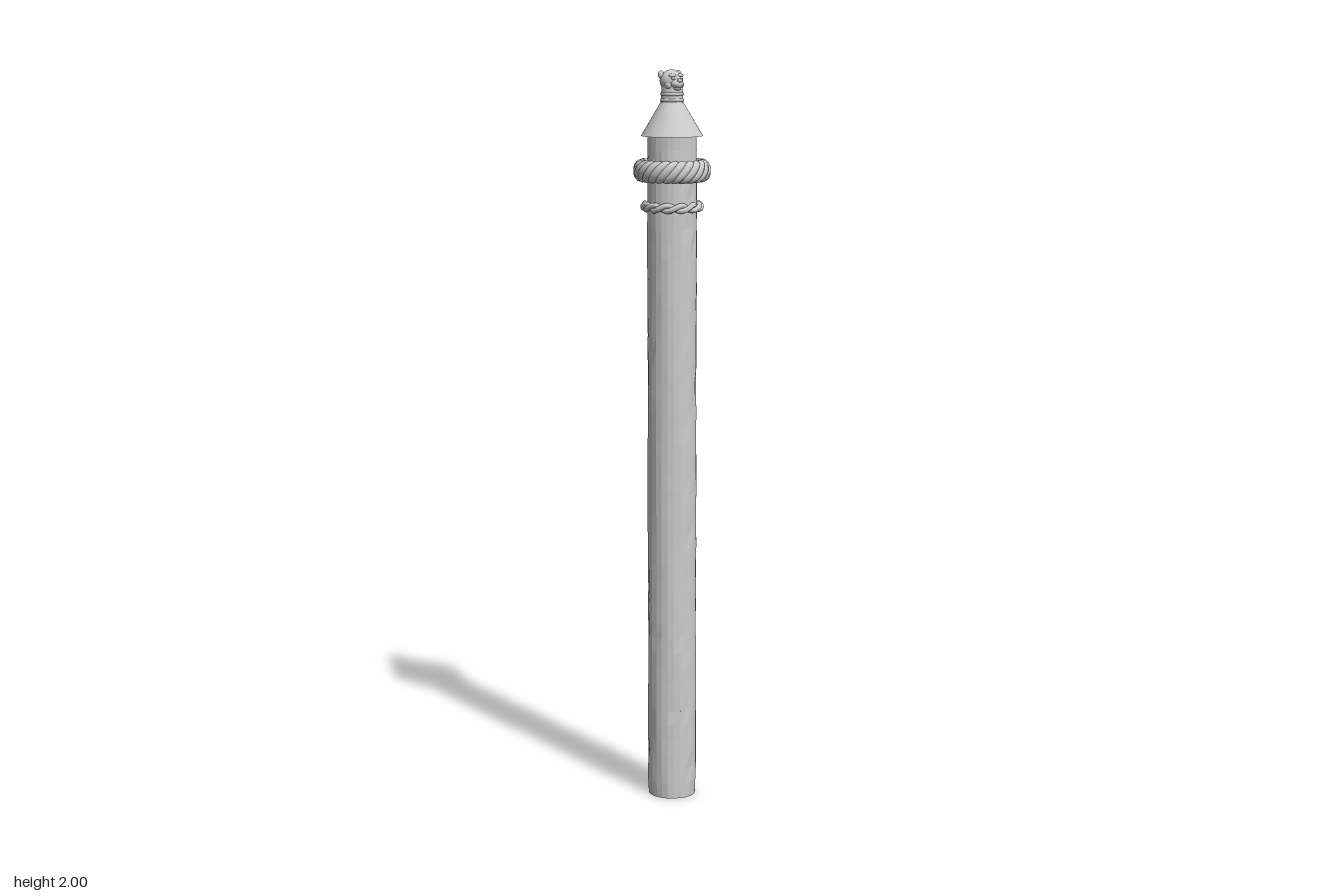
import * as THREE from 'three';

const stone = new THREE.MeshStandardMaterial({ color: 0xcccccc });
stone.name = 'pale grey';
const carved = new THREE.MeshStandardMaterial({ color: 0xcccccc, flatShading: true });
carved.name = 'pale grey carved';

function add(parent, name, geometry, material, x = 0, y = 0, z = 0) {
  const mesh = new THREE.Mesh(geometry, material);
  mesh.name = name;
  mesh.position.set(x, y, z);
  parent.add(mesh);
  return mesh;
}

function ellipsoid(parent, name, size, pos, tilt = 0) {
  const mesh = add(parent, name, new THREE.SphereGeometry(1, 16, 12), stone, ...pos);
  mesh.scale.set(...size);
  mesh.rotation.x = tilt;
  return mesh;
}

// Strands that wind around a ring, each one a closed tube
function ropeRing(name, y, radius, across, up, strandRadius, strands, twists) {
  const ring = new THREE.Group();
  ring.name = name;
  ring.position.y = y;
  for (let s = 0; s < strands; s++) {
    const points = [];
    const steps = twists * 12;
    for (let i = 0; i < steps; i++) {
      const a = (i / steps) * Math.PI * 2;
      const p = twists * a + (s / strands) * Math.PI * 2;
      const r = radius + across * Math.cos(p);
      points.push(new THREE.Vector3(r * Math.sin(a), up * Math.sin(p), r * Math.cos(a)));
    }
    const path = new THREE.CatmullRomCurve3(points, true);
    add(ring, 'ropeStrand', new THREE.TubeGeometry(path, twists * 28, strandRadius, 8, true), stone);
  }
  return ring;
}

// Hewn shaft: a cylinder whose radius wanders slightly, with small chips
function shaftGeometry(radius, height) {
  const geo = new THREE.CylinderGeometry(radius, radius, height, 24, 44);
  const pos = geo.attributes.position;
  for (let i = 0; i < pos.count; i++) {
    const x = pos.getX(i), y = pos.getY(i), z = pos.getZ(i);
    if (Math.hypot(x, z) < 0.01) continue;
    const a = Math.round((Math.atan2(x, z) / (Math.PI * 2)) * 24 + 24) % 24;
    const row = Math.round((y / height + 0.5) * 44);
    const hash = Math.abs(Math.sin(a * 12.99 + row * 78.23) * 43758.5) % 1;
    const wave = Math.sin(a * 1.57 + row * 0.4) * 0.0005;
    const chip = hash > 0.97 ? 0.003 : hash * 0.0012;
    const bevel = row === 0 ? 0.002 : 0;
    const k = (radius + wave - chip - bevel) / radius;
    pos.setXYZ(i, x * k, y, z * k);
  }
  geo.computeVertexNormals();
  return geo;
}

// Small animal head facing +z on a banded neck
function animalHead() {
  const head = new THREE.Group();
  head.name = 'animalHead';
  add(head, 'neck', new THREE.CylinderGeometry(0.027, 0.031, 0.06, 20), stone, 0, 1.935, 0);
  for (const y of [1.92, 1.936]) {
    const band = add(head, 'neckBand', new THREE.TorusGeometry(0.027, 0.005, 8, 24), stone, 0, y, 0);
    band.rotation.x = Math.PI / 2;
  }
  ellipsoid(head, 'skull', [0.032, 0.03, 0.032], [0, 1.97, -0.003]);
  ellipsoid(head, 'muzzle', [0.019, 0.014, 0.02], [0, 1.964, 0.02], 0.15);
  ellipsoid(head, 'nose', [0.008, 0.005, 0.005], [0, 1.972, 0.036]);
  ellipsoid(head, 'chin', [0.014, 0.007, 0.015], [0, 1.951, 0.018]);
  for (const side of [-1, 1]) {
    ellipsoid(head, 'ear', [0.009, 0.011, 0.007], [side * 0.028, 1.987, -0.011]);
    ellipsoid(head, 'brow', [0.011, 0.005, 0.008], [side * 0.012, 1.985, 0.019]);
    ellipsoid(head, 'eye', [0.005, 0.004, 0.004], [side * 0.013, 1.978, 0.023]);
    ellipsoid(head, 'cheek', [0.012, 0.013, 0.012], [side * 0.017, 1.96, 0.01]);
  }
  return head;
}

export function createModel() {
  const model = new THREE.Group();
  model.name = 'ropedPost';
  const column = new THREE.Group();
  column.name = 'column';
  column.position.x = -0.002;
  model.add(column);

  add(column, 'shaft', shaftGeometry(0.067, 1.83), carved, 0, 0.915, 0);

  // Conical cap with a closed underside
  add(column, 'cap', new THREE.CylinderGeometry(0.031, 0.083, 0.088, 40), stone, 0, 1.869, 0);

  // Thick rope with a filled core
  column.add(ropeRing('thickRope', 1.733, 0.082, 0.01, 0.018, 0.0125, 4, 6));
  const core = add(column, 'ropeCore', new THREE.TorusGeometry(0.08, 0.013, 8, 40), stone, 0, 1.733, 0);
  core.rotation.x = Math.PI / 2;

  // Thin two-strand cord below it
  column.add(ropeRing('thinCord', 1.637, 0.073, 0.005, 0.007, 0.0075, 2, 6));

  column.add(animalHead());
  return model;
}
